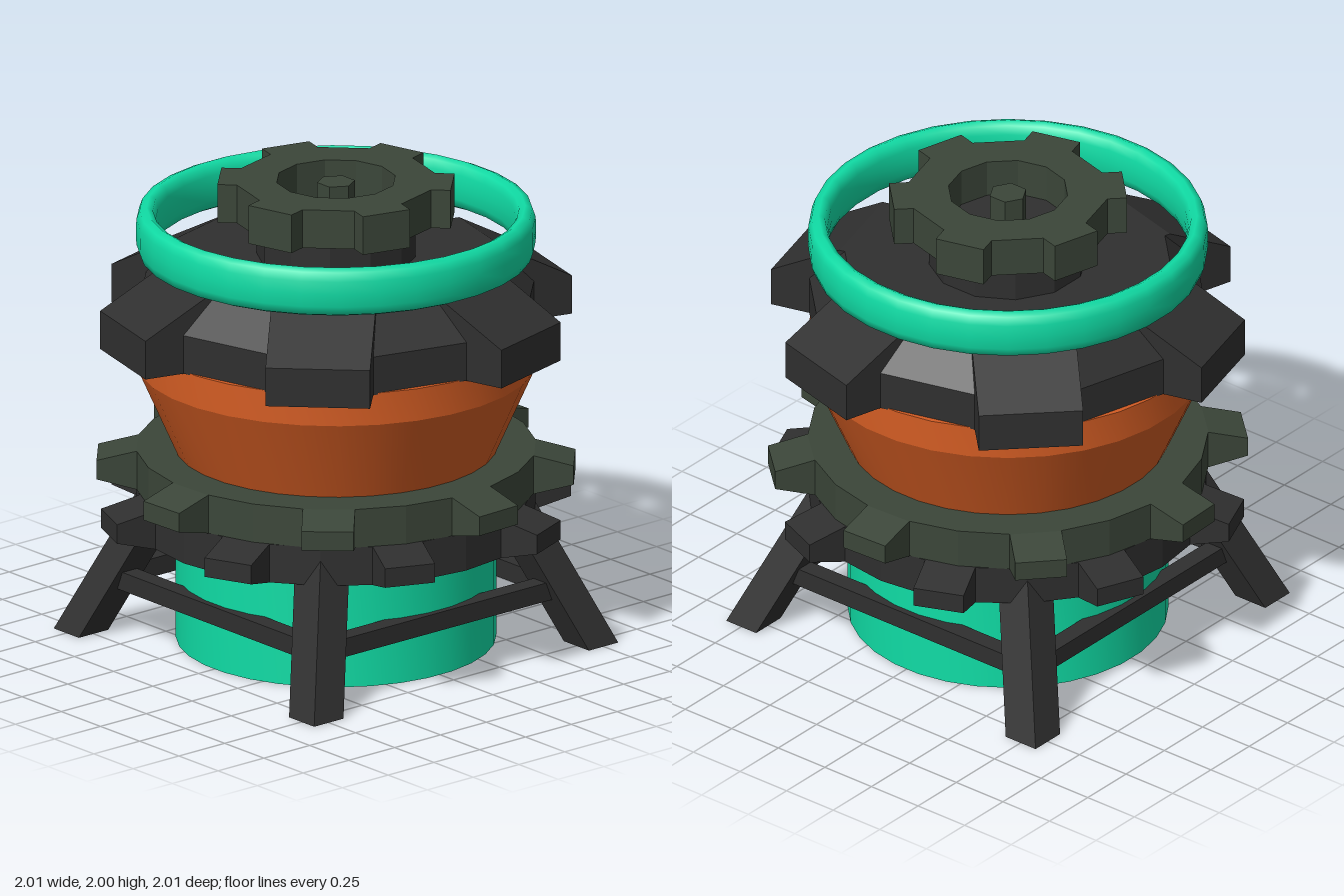
import * as THREE from 'three';
import { toCreasedNormals } from 'three/addons/utils/BufferGeometryUtils.js';

const teal = new THREE.MeshStandardMaterial({ color: 0x10dca5 });
teal.name = 'teal';
const orange = new THREE.MeshStandardMaterial({ color: 0xd25c23 });
orange.name = 'orange';
const black = new THREE.MeshStandardMaterial({ color: 0x2f2f2f });
black.name = 'charcoal';
const green = new THREE.MeshStandardMaterial({ color: 0x3b4639 });
green.name = 'dark green';

const deg = Math.PI / 180;

function addMesh(parent, name, geometry, material) {
  const mesh = new THREE.Mesh(geometry, material);
  mesh.name = name;
  parent.add(mesh);
  return mesh;
}

// Revolved profile of [radius, y] pairs, with faces centred on +z
function turned(profile, sides, crease) {
  const points = profile.map(([r, y]) => new THREE.Vector2(r, y));
  return toCreasedNormals(new THREE.LatheGeometry(points, sides, -Math.PI / sides), crease);
}

// Tooth outline of [distance, y] pairs, extruded sideways and pointing to +z
function toothGeometry(outline, width) {
  const shape = new THREE.Shape(outline.map(([r, y]) => new THREE.Vector2(r, y)));
  const geometry = new THREE.ExtrudeGeometry(shape, { depth: width, bevelEnabled: false });
  geometry.translate(0, 0, -width / 2);
  geometry.rotateY(-Math.PI / 2);
  return geometry;
}

// Polygonal gear body with evenly spaced teeth
function addGear(parent, name, material, { profile, sides, outline, width, teeth, turn }) {
  const gear = new THREE.Group();
  gear.name = name;
  addMesh(gear, name + 'Body', turned(profile, sides, 0.1), material);
  const geometry = toothGeometry(outline, width);
  for (let i = 0; i < teeth; i++) {
    addMesh(gear, name + 'Tooth', geometry, material).rotation.y = (i / teeth) * Math.PI * 2;
  }
  gear.rotation.y = turn * deg;
  parent.add(gear);
}

// Closed rectangular ring section
const ring = (inner, outer, y0, y1) =>
  [[inner, y0], [outer, y0], [outer, y1], [inner, y1], [inner, y0]];

export function createModel() {
  const model = new THREE.Group();
  model.name = 'gearTower';

  // Hollow base pipe
  addMesh(model, 'basePipe', turned(ring(0.49, 0.665, 0, 0.52), 32, 0.5), teal);
  addMesh(model, 'pipeLining', turned([[0.49, 0.83], [0.49, 0.5]], 32, 0.5), teal);

  // Four splayed legs and the braces between them
  const legHeight = 0.64;
  const leg = new THREE.BoxGeometry(0.16, legHeight, 0.16);
  leg.translate(0.75, legHeight / 2, 0.75);
  const pos = leg.attributes.position;
  for (let i = 0; i < pos.count; i++) {
    const lean = 0.4 * pos.getY(i);
    pos.setX(i, pos.getX(i) - lean);
    pos.setZ(i, pos.getZ(i) - lean);
  }
  leg.computeVertexNormals();
  const brace = new THREE.BoxGeometry(1.3, 0.08, 0.08);
  brace.translate(0, 0.245, 0.65);
  for (let i = 0; i < 4; i++) {
    addMesh(model, 'leg', leg, black).rotation.y = i * Math.PI / 2;
    addMesh(model, 'brace', brace, black).rotation.y = i * Math.PI / 2;
  }

  // Two stacked gears with tapered teeth
  [['lowerGear', black, 0.5, 22.5], ['middleGear', green, 0.667, 2.4]].forEach(([name, material, y, turn]) => {
    addGear(model, name, material, {
      profile: ring(0.495, 0.83, y, y + 0.167),
      sides: 24,
      outline: [[0.8, y], [0.825, y], [0.99, y + 0.042], [0.99, y + 0.125], [0.825, y + 0.167], [0.8, y + 0.167]],
      width: 0.217,
      teeth: 8,
      turn,
    });
  });

  // Flared housing
  addMesh(model, 'housing', turned(
    [[0, 0.825], [0.665, 0.825], [0.83, 1.2], [0.83, 1.34], [0, 1.34]], 32, 0.3), orange);

  // Broad gear with sloped teeth
  addGear(model, 'upperGear', black, {
    profile: [[0, 1.333], [0.835, 1.333], [0.835, 1.5], [0.69, 1.667], [0, 1.667]],
    sides: 12,
    outline: [[0.62, 1.333], [0.98, 1.333], [0.98, 1.5], [0.67, 1.667], [0.62, 1.667]],
    width: 0.435,
    teeth: 6,
    turn: 15,
  });

  // Floating rounded hoop
  addMesh(model, 'hoop', turned([
    [0.785, 1.67], [0.815, 1.683], [0.828, 1.72], [0.83, 1.775], [0.828, 1.83], [0.815, 1.867],
    [0.785, 1.88], [0.76, 1.867], [0.748, 1.83], [0.745, 1.775], [0.748, 1.72], [0.76, 1.683],
    [0.785, 1.67],
  ], 32, 1.2), teal);

  // Neck, crown gear and centre pin
  addMesh(model, 'neck', turned([[0, 1.66], [0.33, 1.66], [0.33, 1.84], [0, 1.84]], 12, 0.1), black);
  addGear(model, 'crownGear', green, {
    profile: ring(0.25, 0.418, 1.833, 2),
    sides: 12,
    outline: [[0.38, 1.833], [0.485, 1.833], [0.485, 2], [0.38, 2]],
    width: 0.217,
    teeth: 6,
    turn: 45,
  });
  const pin = new THREE.CylinderGeometry(0.08, 0.08, 0.16, 6).translate(0, 1.91, 0);
  addMesh(model, 'centrePin', toCreasedNormals(pin, 0.1), green);

  return model;
}
